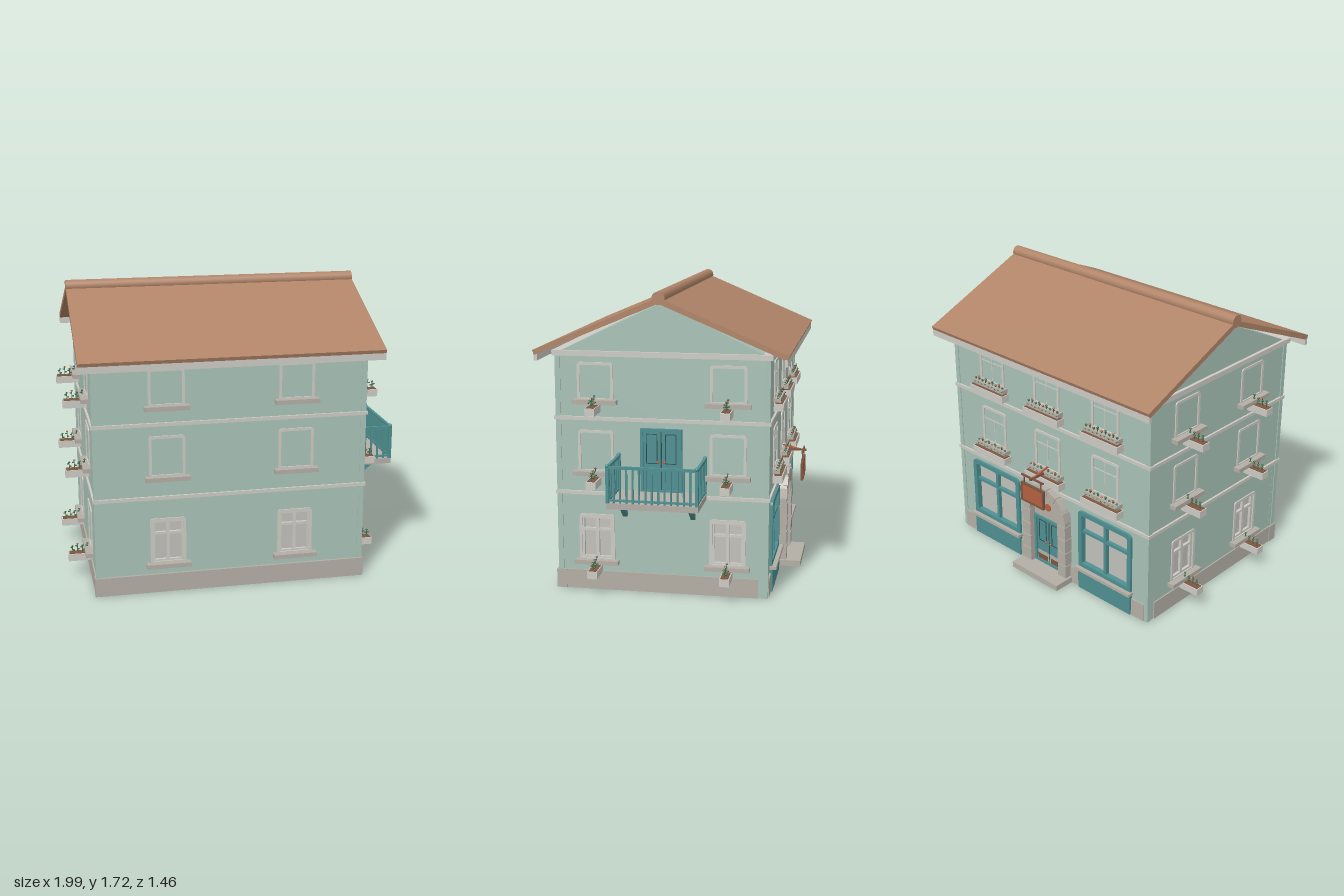
import * as THREE from 'three';

const mat = (name, color) => {
  const m = new THREE.MeshStandardMaterial({ color });
  m.name = name;
  return m;
};

export function createModel() {
  const wall = mat('wall green', 0xa9c3b7), roofM = mat('roof clay', 0xb08468);
  const trim = mat('pale trim', 0xcdcbc4), stone = mat('stone', 0xb4aea5);
  const teal = mat('teal paint', 0x4f9092), glass = mat('window glass', 0xc2c1bb);
  const leaf = mat('leaf green', 0x44694c), wood = mat('dark wood', 0x7d5640);
  const rust = mat('rust red', 0xb5603f), iron = mat('dark teal', 0x2f5557);
  const model = new THREE.Group();
  model.name = 'townhouse';

  const add = (parent, name, geo, m) => {
    const mesh = new THREE.Mesh(geo, m);
    mesh.name = name;
    parent.add(mesh);
    return mesh;
  };
  // Box given by its minimum and maximum on each axis
  const box = (parent, name, m, x0, x1, y0, y1, z0, z1) => {
    const b = add(parent, name, new THREE.BoxGeometry(x1 - x0, y1 - y0, z1 - z0), m);
    b.position.set((x0 + x1) / 2, (y0 + y1) / 2, (z0 + z1) / 2);
    return b;
  };
  const bevelled = (C, x0, x1, y0, y1, r) => {
    const s = new C();
    s.moveTo(x0, y0); s.lineTo(x1, y0); s.lineTo(x1, y1 - r);
    s.quadraticCurveTo(x1, y1, x1 - r, y1); s.lineTo(x0 + r, y1);
    s.quadraticCurveTo(x0, y1, x0, y1 - r); s.closePath();
    return s;
  };
  const extrude = (shape, depth) =>
    new THREE.ExtrudeGeometry(shape, { depth, bevelEnabled: false, curveSegments: 12 });
  // Frame with rounded top corners
  const frame = (parent, name, m, x0, x1, y0, y1, w, z0, z1, r = 0.02) => {
    const s = bevelled(THREE.Shape, x0, x1, y0, y1, r);
    s.holes.push(bevelled(THREE.Path, x0 + w, x1 - w, y0 + w, y1 - w, r * 0.6));
    add(parent, name, extrude(s, z1 - z0), m).position.z = z0;
  };
  // Profile of [z, y] points swept along x
  const sweepX = (name, m, pts, x0, x1) => {
    const g = extrude(new THREE.Shape(pts.map(p => new THREE.Vector2(-p[0], p[1]))), x1 - x0);
    g.rotateY(Math.PI / 2).translate(x0, 0, 0);
    return add(model, name, g, m);
  };

  const X0 = -0.862, X1 = 0.697, Z0 = -0.58, Z1 = 0.62, CX = -0.083, CZ = 0.02, T = 0.05;

  // Upper storeys with gables, over a hollow ground floor
  sweepX('upperStoreys', wall, [[Z1, 0.57], [Z1, 1.37], [0.6, 1.375], [CZ, 1.652],
    [-0.56, 1.375], [Z0, 1.37], [Z0, 0.57]], X0, X1);

  // Roof, ridge and eaves
  sweepX('roof', roofM, [[0.73, 1.388], [CZ, 1.688], [-0.69, 1.388], [-0.68, 1.36],
    [CZ, 1.655], [0.72, 1.36]], -0.94, 0.775);
  const ridge = add(model, 'ridgeTile', new THREE.CylinderGeometry(0.036, 0.036, 1.716, 20), roofM);
  ridge.rotation.z = Math.PI / 2;
  ridge.position.set(CX, 1.684, CZ);
  for (const z of [0.703, -0.683]) box(model, 'gutter', trim, -0.94, 0.775, 1.33, 1.368, z, z + 0.02);

  // String courses and cornice
  for (const [y, h, o] of [[0.56, 0.02, 0.012], [0.99, 0.02, 0.012], [1.352, 0.03, 0.018]])
    box(model, 'stringCourse', trim, X0 - o, X1 + o, y, y + h, Z0 - o, Z1 + o);

  // Corner pilasters
  for (const x of [X0 - 0.005, X1 - 0.025])
    for (const z of [Z0 - 0.005, Z1 - 0.025])
      box(model, 'cornerPilaster', wall, x, x + 0.03, 0, 1.36, z, z + 0.03);

  // Stone plinth
  box(model, 'plinthFront', stone, X0 - 0.012, X1 + 0.012, 0, 0.11, 0.575, 0.635);
  box(model, 'plinthRight', stone, X1 - T, X1 + 0.008, 0, 0.11, -0.53, 0.576);
  box(model, 'plinthLeft', stone, X0 - 0.008, X0 + T, 0, 0.11, -0.53, 0.576);
  for (const [a, b] of [[X0 + 0.02, -0.745], [-0.33, 0.165], [0.58, X1 - 0.02]])
    box(model, 'plinthBack', stone, a, b, 0, 0.11, Z0 - 0.01, Z0 + T);

  // Side of the house in its own frame: x along the wall, y up, z outward
  const side = (name, angle, x, z, half) => {
    const g = new THREE.Group();
    g.name = name;
    g.rotation.y = angle;
    g.position.set(x, 0, z);
    g.userData.half = half;
    model.add(g);
    return g;
  };
  const front = side('frontSide', 0, CX, Z1, 0.78);
  const back = side('backSide', Math.PI, CX, Z0, 0.78);
  const right = side('rightSide', Math.PI / 2, X1, CZ, 0.6);
  const left = side('leftSide', -Math.PI / 2, X0, CZ, 0.6);

  const groundWall = (g, openings) => {
    const h = g.userData.half;
    const s = bevelled(THREE.Shape, -h, h, 0, 0.572, 0.001);
    for (const o of openings) s.holes.push(bevelled(THREE.Path, ...o, 0.01));
    add(g, 'groundWall', extrude(s, T), wall).position.z = -T;
  };

  // Planter whose length runs along local x
  const planter = (parent, len) => {
    const g = new THREE.Group();
    g.name = 'planter';
    parent.add(g);
    box(g, 'planterBox', trim, -len / 2, len / 2, 0, 0.043, -0.028, 0.028);
    box(g, 'planterSoil', wood, -len / 2 + 0.006, len / 2 - 0.006, 0.04, 0.046, -0.022, 0.022);
    const n = Math.round(len / 0.032);
    for (let i = 0; i < n; i++) {
      const x = (i + 0.5) / n * (len - 0.02) - len / 2 + 0.01, h = 0.04 + 0.012 * (i % 2);
      box(g, 'stem', leaf, x - 0.002, x + 0.002, 0.04, 0.044 + h, -0.002, 0.002);
      for (const [k, dx, dz] of [[0.45, 0.006, 0.008], [0.7, -0.006, -0.008], [1, 0, 0]]) {
        const l = add(g, 'leaf', new THREE.IcosahedronGeometry(0.008, 0), i % 3 === 1 && k === 1 ? rust : leaf);
        l.scale.set(1, 0.6, 1);
        l.position.set(x + dx, 0.044 + h * k, dz);
      }
    }
    return g;
  };

  const rows = [[0.18, 0.446], [0.7, 0.933], [1.11, 1.318]];
  const windowAt = (g, x, row, bars) => {
    const [y0, y1] = rows[row];
    frame(g, 'windowTrim', trim, x - 0.103, x + 0.103, y0 - 0.01, y1, 0.016, 0, 0.007);
    box(g, 'windowSill', stone, x - 0.127, x + 0.127, y0 - 0.025, y0, 0, 0.043);
    if (row === 0) {
      box(g, 'windowPane', glass, x - 0.09, x + 0.09, y0, y1 - 0.012, -0.03, -0.022);
      frame(g, 'windowFrame', trim, x - 0.09, x + 0.09, y0, y1 - 0.014, 0.014, -0.04, -0.006, 0.005);
      box(g, 'mullion', trim, x - 0.01, x + 0.01, y0, y1 - 0.02, -0.04, -0.006);
      box(g, 'transom', trim, x - 0.085, x + 0.085, y0 + 0.165, y0 + 0.18, -0.04, -0.006);
    } else if (bars) {
      box(g, 'mullion', trim, x - 0.003, x + 0.003, y0, y1 - 0.015, 0, 0.003);
      box(g, 'transom', trim, x - 0.088, x + 0.088, y1 - 0.085, y1 - 0.079, 0, 0.003);
    }
  };

  // Front and gable sides
  const hole = x => [x - 0.09, x + 0.09, 0.18, 0.434];
  for (const [g, xs] of [[front, [-0.368, 0.373]], [right, [-0.375, 0.375]], [left, [-0.3, 0.28]]]) {
    groundWall(g, xs.map(hole));
    for (const x of xs)
      for (let r = 0; r < 3; r++) {
        windowAt(g, x, r, false);
        if (g === front) continue;
        const p = planter(g, 0.137);
        p.rotation.y = Math.PI / 2;
        p.position.set(x, [0.102, 0.622, 1.037][r], 0.0685);
      }
  }

  // Back side: upper windows with planters
  const bays = [-0.455, 0, 0.455];
  for (const x of bays)
    for (const r of [1, 2]) {
      windowAt(back, x, r, true);
      planter(back, 0.28).position.set(x, [0, 0.622, 1.037][r], 0.032);
    }

  // Shop windows
  const shops = [bays[0], bays[2]];
  groundWall(back, [...shops.map(x => [x - 0.19, x + 0.19, 0.155, 0.515]), [-0.11, 0.11, 0.03, 0.45]]);
  for (const x of shops) {
    frame(back, 'shopFrame', teal, x - 0.205, x + 0.205, 0.15, 0.53, 0.028, -0.035, 0.015, 0.03);
    box(back, 'shopGlass', glass, x - 0.19, x + 0.19, 0.16, 0.515, -0.025, -0.018);
    box(back, 'shopMullion', teal, x - 0.01, x + 0.01, 0.16, 0.51, -0.03, 0.005);
    box(back, 'shopTransom', teal, x - 0.185, x + 0.185, 0.385, 0.403, -0.03, 0.005);
    box(back, 'shopSill', stone, x - 0.215, x + 0.215, 0.133, 0.152, 0, 0.04);
    box(back, 'shopPanel', teal, x - 0.205, x + 0.205, 0, 0.133, -0.03, 0.018);
  }

  // Arched doorway with stone blocks
  const archShape = (C, r, y0, spring) => {
    const s = new C();
    s.moveTo(-r, y0); s.lineTo(r, y0); s.lineTo(r, spring);
    s.absarc(0, spring, r, 0, Math.PI, false); s.closePath();
    return s;
  };
  const arch = archShape(THREE.Shape, 0.175, 0, 0.41);
  arch.holes.push(archShape(THREE.Path, 0.115, 0.002, 0.41));
  add(back, 'doorArch', extrude(arch, 0.048), stone);
  for (const s of [-1, 1])
    for (let i = 0; i < 4; i++)
      box(back, 'archBlock', stone, s * 0.147 - 0.032, s * 0.147 + 0.032, 0.04 + i * 0.09, 0.12 + i * 0.09, 0, 0.053);
  for (let i = 0; i < 7; i++) {
    const b = add(back, 'archStone', new THREE.BoxGeometry(0.064, 0.06, 0.053), stone);
    const a = (i + 0.5) / 7 * Math.PI;
    b.rotation.z = a;
    b.position.set(Math.cos(a) * 0.146, 0.41 + Math.sin(a) * 0.146, 0.0265);
  }
  add(back, 'fanlight', extrude(archShape(THREE.Shape, 0.118, 0.36, 0.41), 0.006), stone).position.z = 0.003;
  const disc = add(back, 'fanlightDisc', new THREE.CylinderGeometry(0.024, 0.024, 0.008, 20), rust);
  disc.rotation.x = Math.PI / 2;
  disc.position.set(0, 0.44, 0.011);
  box(back, 'doorstep', stone, -0.19, 0.19, 0, 0.036, 0, 0.14);

  // Double door with panels, kick plates and knobs
  const doubleDoor = (g, x, w, y0, y1, pane) => {
    box(g, 'doorLeaf', teal, x - w, x + w, y0, y1, -0.03, 0.008);
    frame(g, 'doorFrame', teal, x - w, x + w, y0, y1, 0.016, 0, 0.02, 0.004);
    box(g, 'doorSeam', iron, x - 0.003, x + 0.003, y0, y1 - 0.016, 0.006, 0.01);
    for (const s of [-1, 1]) {
      const c = x + s * w * 0.46, p = w * 0.27;
      frame(g, 'doorPanel', iron, c - p, c + p, y0 + (y1 - y0) * 0.45, y1 - 0.03, 0.004, 0.007, 0.012, 0.003);
      if (pane) box(g, 'kickPlate', wood, c - p * 1.3, c + p * 1.3, y0 + 0.005, y0 + 0.05, 0.007, 0.012);
      add(g, 'doorKnob', new THREE.SphereGeometry(0.008, 12, 8), rust)
        .position.set(x + s * 0.02, y0 + (y1 - y0) * 0.48, 0.018);
    }
  };
  doubleDoor(back, 0, 0.114, 0.036, 0.36, true);

  // Hanging sign
  const sign = new THREE.Group();
  sign.name = 'hangingSign';
  back.add(sign);
  box(sign, 'signArm', wood, -0.007, 0.007, 0.682, 0.694, 0, 0.15);
  box(sign, 'signRail', wood, -0.09, 0.09, 0.682, 0.692, 0.126, 0.136);
  const strut = box(sign, 'signStrut', rust, -0.005, 0.005, -0.004, 0.004, -0.06, 0.06);
  strut.position.set(0, 0.702, 0.065);
  strut.rotation.x = 0.22;
  for (const x of [-0.07, 0.07]) box(sign, 'signHanger', wood, x - 0.003, x + 0.003, 0.63, 0.685, 0.128, 0.134);
  box(sign, 'signBoard', rust, -0.09, 0.09, 0.52, 0.635, 0.127, 0.135);
  frame(sign, 'signBorder', wood, -0.094, 0.094, 0.516, 0.639, 0.012, 0.124, 0.139, 0.004);

  // Balcony door, slab, braces and railing
  doubleDoor(right, 0, 0.118, 0.59, 0.955, false);
  const balcony = new THREE.Group();
  balcony.name = 'balcony';
  model.add(balcony);
  const bz0 = -0.235, bz1 = 0.27, bx = 0.99;
  box(balcony, 'balconySlab', stone, X1 - 0.01, bx, 0.562, 0.595, bz0, bz1);
  for (const z of [0.21, -0.173]) {
    const b = add(balcony, 'balconyBrace', new THREE.BoxGeometry(0.14, 0.026, 0.026), teal);
    b.rotation.z = 0.7;
    b.position.set(0.832, 0.52, z);
  }
  for (const [y0, y1] of [[0.605, 0.615], [0.785, 0.8]]) {
    box(balcony, 'frontRail', teal, bx - 0.016, bx, y0, y1, bz0, bz1);
    for (const z of [bz0, bz1 - 0.016]) box(balcony, 'sideRail', teal, X1, bx, y0, y1, z, z + 0.016);
  }
  const bar = (x, z, r) => box(balcony, 'baluster', teal, x - r, x + r, 0.595, 0.79, z - r, z + r);
  for (let i = 1; i < 14; i++) bar(bx - 0.008, bz0 + 0.008 + (bz1 - bz0 - 0.016) * i / 14, 0.005);
  for (const z of [bz0 + 0.008, bz1 - 0.008]) {
    for (let i = 1; i < 7; i++) bar(X1 + 0.01 + (bx - X1 - 0.018) * i / 7, z, 0.005);
    for (const x of [X1 + 0.012, bx - 0.008]) {
      bar(x, z, 0.009);
      add(balcony, 'postCap', new THREE.SphereGeometry(0.012, 12, 8), teal).position.set(x, 0.8, z);
    }
  }
  return model;
}
